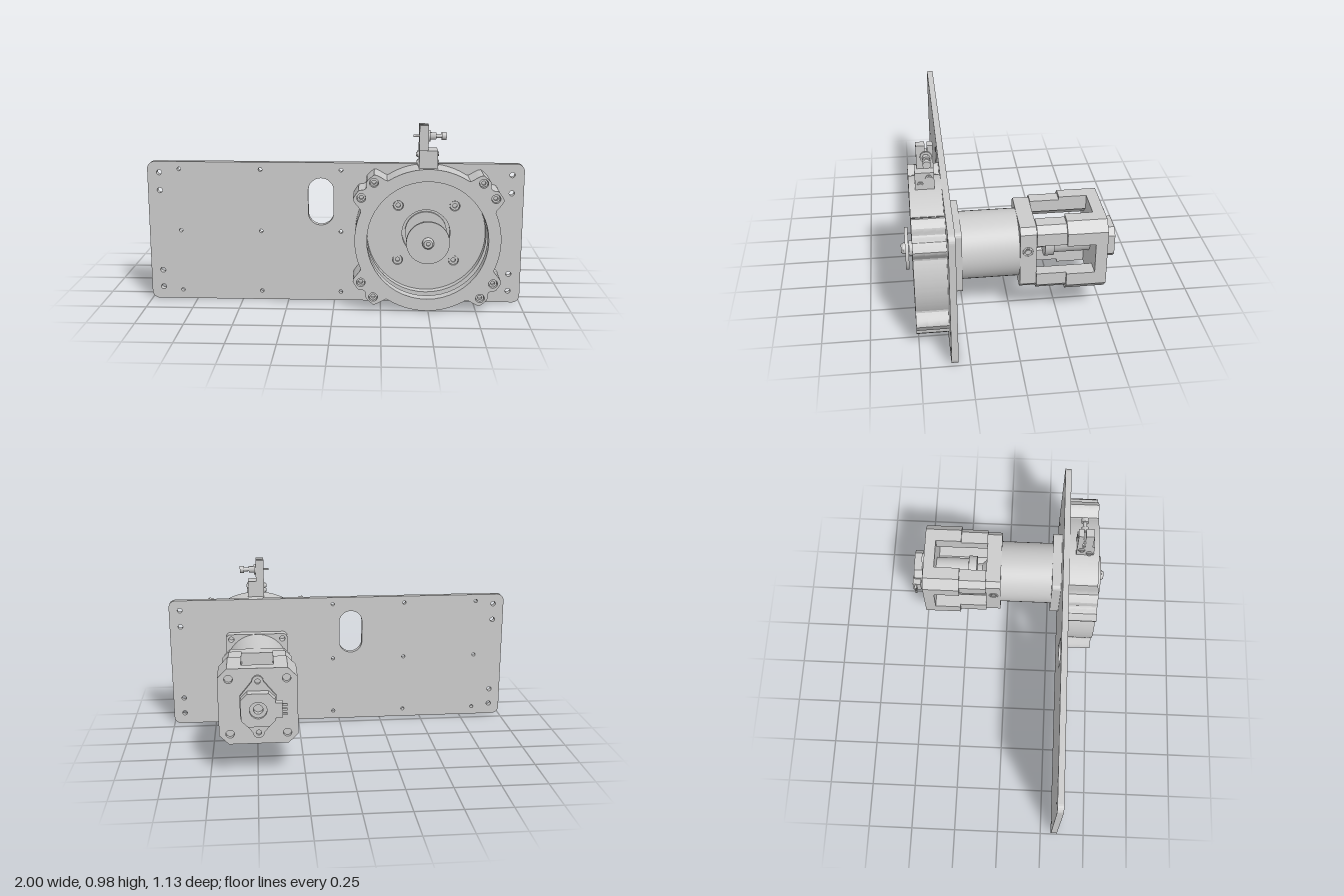
import * as THREE from 'three';
import { toCreasedNormals } from 'three/addons/utils/BufferGeometryUtils.js';

const CX = 0.49, CY = 0.383; // drive axis
const mat = new THREE.MeshStandardMaterial({ color: 0xcccccc, side: THREE.DoubleSide });

export function createModel() {
  const root = new THREE.Group();
  const drive = new THREE.Group();
  drive.name = 'drive';
  drive.position.set(CX, CY, 0);
  root.add(drive);

  const add = (parent, name, geo, x = 0, y = 0, z = 0) => {
    const m = new THREE.Mesh(geo, mat);
    m.name = name;
    m.position.set(x, y, z);
    parent.add(m);
    return m;
  };
  // Extrusion of a shape from z0 to z1
  const slab = (parent, name, shape, z0, z1, x = 0, y = 0) => add(parent, name,
    toCreasedNormals(new THREE.ExtrudeGeometry(shape, { depth: z1 - z0, bevelEnabled: false, curveSegments: 24 }), 0.5), x, y, z0);
  // Solid of revolution about z, points are [radius, z]
  const turned = (parent, name, pts, x = 0, y = 0, seg = 40) => {
    const g = new THREE.LatheGeometry(pts.map(p => new THREE.Vector2(p[0], p[1])), seg);
    g.rotateX(Math.PI / 2);
    return add(parent, name, toCreasedNormals(g, 0.5), x, y, 0);
  };
  const rod = (parent, name, r, z0, z1, x = 0, y = 0, seg = 32) =>
    turned(parent, name, [[0, z0], [r, z0], [r, z1], [0, z1]], x, y, seg);
  const rodX = (parent, name, r, x0, x1, y, z, seg = 20) =>
    add(parent, name, new THREE.CylinderGeometry(r, r, x1 - x0, seg).rotateZ(Math.PI / 2), (x0 + x1) / 2, y, z);
  const box = (parent, name, x0, x1, y0, y1, z0, z1) =>
    add(parent, name, new THREE.BoxGeometry(x1 - x0, y1 - y0, z1 - z0), (x0 + x1) / 2, (y0 + y1) / 2, (z0 + z1) / 2);
  const poly = pts => new THREE.Shape(pts.map(p => new THREE.Vector2(p[0], p[1])));
  const hole = (shape, x, y, r) => {
    shape.holes.push(new THREE.Path().absarc(x, y, r, 0, Math.PI * 2, true));
    return shape;
  };
  const roundRect = (x0, x1, y0, y1, r) => {
    const s = new THREE.Shape();
    s.absarc(x1 - r, y1 - r, r, 0, Math.PI / 2);
    s.absarc(x0 + r, y1 - r, r, Math.PI / 2, Math.PI);
    s.absarc(x0 + r, y0 + r, r, Math.PI, Math.PI * 1.5);
    s.absarc(x1 - r, y0 + r, r, Math.PI * 1.5, Math.PI * 2);
    s.closePath();
    return s;
  };
  const chamfered = (h, c) => poly([[h, -h + c], [h, h - c], [h - c, h], [-h + c, h],
    [-h, h - c], [-h, -h + c], [-h + c, -h], [h - c, -h]]);
  const corners = [[1, 1], [-1, 1], [-1, -1], [1, -1]];

  // Mounting plate with slot, small holes and the shaft opening
  const plate = roundRect(-1, 1, 0, 0.762, 0.04);
  for (const x of [-0.83, -0.395, 0.035]) for (const y of [0.048, 0.385, 0.722]) hole(plate, x, y, 0.01);
  for (const x of [-0.937, 0.937]) for (const y of [0.065, 0.16, 0.605, 0.703]) hole(plate, x, y, 0.014);
  const slot = new THREE.Path();
  slot.absarc(-0.072, 0.61, 0.068, 0, Math.PI);
  slot.absarc(-0.072, 0.49, 0.068, Math.PI, Math.PI * 2);
  slot.closePath();
  plate.holes.push(slot);
  hole(plate, CX, CY, 0.128);
  for (const [i, j] of corners) hole(plate, CX + i * 0.15, CY + j * 0.15, 0.027);
  slab(root, 'mountingPlate', plate, 0.31, 0.345);

  // Ring housing: round wall with paired bolt lobes near each diagonal
  const bolts = corners.flatMap(([i, j]) => [[i * 0.28, j * 0.307], [i * 0.345, j * 0.227]]);
  const ringShape = inner => {
    const pts = [];
    for (let k = 0; k < 288; k++) {
      const a = k / 288 * Math.PI * 2;
      const q = Math.atan2(Math.abs(Math.sin(a)), Math.abs(Math.cos(a))) * 180 / Math.PI;
      const d = Math.abs(q - 40.5);
      const lobe = 1 - THREE.MathUtils.smoothstep(d, 10.5, 16.5);
      const notch = 1 - THREE.MathUtils.smoothstep(d, 0.5, 4.5);
      const r = 0.379 + 0.068 * lobe - 0.022 * notch;
      pts.push([THREE.MathUtils.clamp(r * Math.cos(a), -0.388, 0.388), r * Math.sin(a)]);
    }
    const s = hole(poly(pts), 0, 0, inner);
    for (const [x, y] of bolts) hole(s, x, y, 0.023);
    return s;
  };
  slab(drive, 'ringBack', ringShape(0.315), 0.345, 0.39);
  slab(drive, 'ringGroove', ringShape(0.338), 0.39, 0.45);
  slab(drive, 'ringFront', ringShape(0.315), 0.45, 0.51);
  for (const [x, y] of bolts)
    turned(drive, 'ringBolt', [[0, 0.475], [0.011, 0.475], [0.011, 0.495], [0.021, 0.495], [0.021, 0.35], [0, 0.35]], x, y, 18);

  // Output shaft, hub and disc
  rod(drive, 'gearFace', 0.112, 0.3, 0.325);
  turned(drive, 'outputShaft', [[0, 0.3], [0.06, 0.3], [0.06, 0.34], [0.04, 0.345], [0.04, 0.525], [0, 0.525]]);
  rod(drive, 'disc', 0.112, 0.527, 0.545, 0, 0, 48);
  turned(drive, 'discScrew', [[0, 0.545], [0.03, 0.545], [0.03, 0.555], [0.022, 0.567], [0.01, 0.567], [0.01, 0.556], [0, 0.556]], 0, 0, 24);

  // Gearbox flange, barrel and square adapter
  const flange = roundRect(-0.18, 0.18, -0.18, 0.18, 0.025);
  for (const [i, j] of corners) {
    hole(flange, i * 0.15, j * 0.15, 0.016);
    turned(drive, 'plateScrew', [[0, 0.325], [0.012, 0.325], [0.012, 0.338], [0.025, 0.338], [0.025, 0.31], [0, 0.31]], i * 0.15, j * 0.15, 18);
  }
  slab(drive, 'gearboxFlange', flange, 0.258, 0.31);
  rod(drive, 'gearboxBarrel', 0.179, -0.05, 0.26, 0, 0, 48);
  slab(drive, 'adapterBlock', hole(chamfered(0.18, 0.03), 0, 0, 0.06), -0.125, -0.04);
  for (const s of [-1, 1]) {
    const ring = add(drive, 'clampHole', new THREE.TorusGeometry(0.022, 0.005, 8, 24).rotateY(Math.PI / 2), s * 0.18, 0.05, -0.08);
    rodX(ring, 'clampScrew', 0.013, -0.004, 0.004, 0, 0);
  }

  // Motor cage: four corner posts leave a window on every side
  const post = (h, c) => {
    const w = 0.085, b = 0.125;
    const s = new THREE.Shape();
    s.moveTo(w, h);
    s.lineTo(h - c, h);
    s.lineTo(h, h - c);
    s.lineTo(h, w);
    s.lineTo(b, w);
    s.quadraticCurveTo(b - 0.015, b - 0.015, w, b);
    s.closePath();
    return s;
  };
  for (let k = 0; k < 4; k++) {
    const g = new THREE.Group();
    g.name = 'cagePost';
    g.rotation.z = k * Math.PI / 2;
    slab(g, 'frontPost', post(0.19, 0.035), -0.282, -0.125);
    slab(g, 'rearPost', post(0.207, 0.05), -0.43, -0.28);
    drive.add(g);
  }
  const endPlate = chamfered(0.207, 0.05);
  for (const [i, j] of corners) hole(endPlate, i * 0.15, j * 0.15, 0.022);
  slab(drive, 'cageEndPlate', endPlate, -0.49, -0.428);
  for (const [i, j] of corners) rod(drive, 'cageScrew', 0.021, -0.47, -0.43, i * 0.15, j * 0.15, 18);

  // Motor coupling and can
  turned(drive, 'coupling', [[0, -0.12], [0.085, -0.12], [0.06, -0.135], [0.042, -0.155], [0.038, -0.185],
    [0.085, -0.187], [0.085, -0.235], [0.07, -0.237], [0.07, -0.43], [0, -0.43]].reverse());

  // Rear sensor: eared base, round body and side connector
  const ears = new THREE.Shape();
  ears.moveTo(0.095, -0.06);
  ears.lineTo(0.095, 0.06);
  ears.lineTo(0.03, 0.14);
  ears.absarc(0, 0.14, 0.03, 0, Math.PI);
  ears.lineTo(-0.095, 0.06);
  ears.lineTo(-0.095, -0.06);
  ears.lineTo(-0.03, -0.14);
  ears.absarc(0, -0.14, 0.03, Math.PI, Math.PI * 2);
  ears.closePath();
  for (const y of [-0.14, 0.14]) hole(ears, 0, y, 0.014);
  slab(drive, 'sensorBase', ears, -0.506, -0.49);
  slab(drive, 'sensorBody', hole(chamfered(0.09, 0.035), 0, 0, 0.045), -0.556, -0.505);
  turned(drive, 'sensorBore', [[0.025, -0.54], [0.045, -0.54], [0.045, -0.506], [0.025, -0.506], [0.025, -0.54]]);
  box(drive, 'connector', -0.125, -0.07, -0.04, 0.04, -0.562, -0.515);
  for (const y of [-0.025, 0, 0.025]) box(drive, 'connectorPin', -0.15, -0.12, y - 0.006, y + 0.006, -0.55, -0.538);

  // Clamp bracket on top of the ring
  const bracket = new THREE.Group();
  bracket.name = 'clampBracket';
  root.add(bracket);
  box(bracket, 'bracketBase', 0.44, 0.535, 0.752, 0.853, 0.38, 0.477);
  box(bracket, 'jawFront', 0.44, 0.487, 0.85, 0.98, 0.42, 0.465);
  box(bracket, 'jawRear', 0.44, 0.487, 0.85, 0.98, 0.38, 0.409);
  box(bracket, 'jawBridge', 0.44, 0.487, 0.895, 0.94, 0.405, 0.425);
  for (const [y, z] of [[0.787, 0.45], [0.824, 0.407]]) {
    rodX(bracket, 'bracketScrew', 0.018, 0.43, 0.54, y, z, 6);
    rodX(bracket, 'bracketScrewTip', 0.01, 0.425, 0.543, y, z);
  }
  rodX(bracket, 'probePin', 0.006, 0.41, 0.58, 0.92, 0.416);
  rodX(bracket, 'probeCollar', 0.03, 0.487, 0.497, 0.92, 0.416);
  rodX(bracket, 'probeNut', 0.02, 0.497, 0.527, 0.92, 0.416, 6);
  rodX(bracket, 'probeNeck', 0.011, 0.52, 0.56, 0.92, 0.416);
  rodX(bracket, 'probeHead', 0.02, 0.555, 0.58, 0.92, 0.416);
  return root;
}
